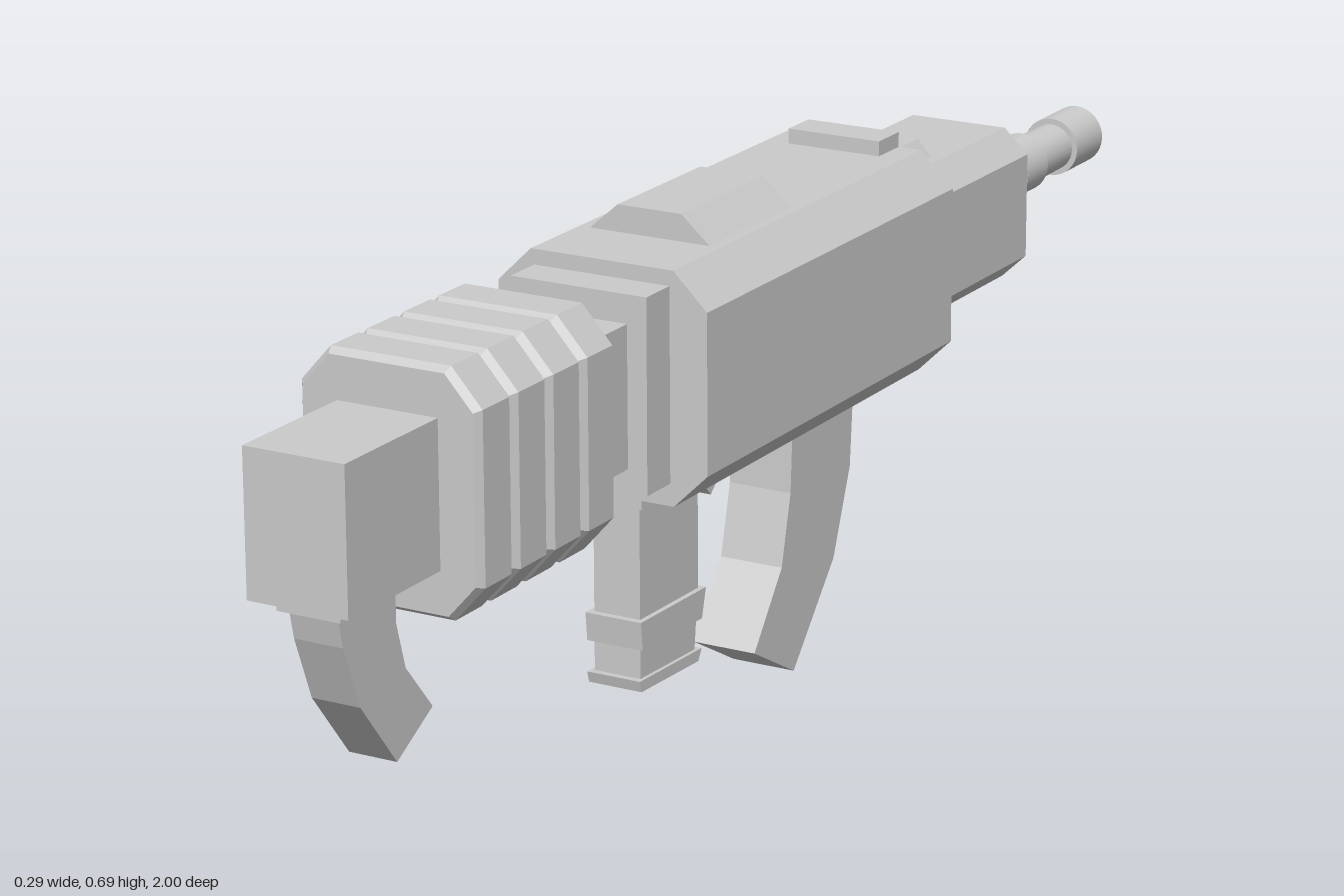
import * as THREE from 'three';

const material = new THREE.MeshStandardMaterial({ color: 0xcccccc });

function toShape(points) {
  return new THREE.Shape(points.map(([a, b]) => new THREE.Vector2(a, b)));
}

// Octagonal outline in x, y with cut corners
function octagon(w, y0, y1, cx, cy) {
  return [[w, y0 + cy], [w, y1 - cy], [w - cx, y1], [cx - w, y1],
    [-w, y1 - cy], [-w, y0 + cy], [cx - w, y0], [w - cx, y0]];
}

export function createModel() {
  const model = new THREE.Group();

  function add(name, geometry, parent = model) {
    const mesh = new THREE.Mesh(geometry, material);
    mesh.name = name;
    parent.add(mesh);
    return mesh;
  }
  function block(name, halfWidth, y0, y1, z0, z1, parent) {
    add(name, new THREE.BoxGeometry(halfWidth * 2, y1 - y0, z1 - z0)
      .translate(0, (y0 + y1) / 2, (z0 + z1) / 2), parent);
  }
  // Front outline (x, y) extruded from z0 to z1
  function lengthwise(name, points, z0, z1, parent) {
    add(name, new THREE.ExtrudeGeometry(toShape(points), { depth: z1 - z0, bevelEnabled: false })
      .translate(0, 0, z0), parent);
  }
  // Side outline (z, y) extruded across x
  function crosswise(name, points, halfWidth, parent) {
    add(name, new THREE.ExtrudeGeometry(toShape(points), { depth: halfWidth * 2, bevelEnabled: false })
      .translate(0, 0, -halfWidth).rotateY(-Math.PI / 2), parent);
  }
  function group(name) {
    const g = new THREE.Group();
    g.name = name;
    model.add(g);
    return g;
  }

  // Main body and its forward section
  lengthwise('receiver', octagon(0.147, 0.358, 0.657, 0.047, 0.046), -0.31, 0.335);
  lengthwise('foreSection', octagon(0.105, 0.405, 0.614, 0.035, 0.033), -0.615, -0.3);
  block('rearCollar', 0.095, 0.387, 0.637, 0.33, 0.39);
  block('rearBeam', 0.068, 0.417, 0.6, 0.38, 1);

  // Raised details on top
  lengthwise('topHump', [[-0.087, 0.655], [0.087, 0.655], [0.045, 0.692], [-0.045, 0.692]], 0.015, 0.22);
  block('sightPlate', 0.067, 0.65, 0.677, -0.31, -0.255);
  lengthwise('foreHump', [[-0.058, 0.61], [0.058, 0.61], [0.035, 0.637], [-0.035, 0.637]], -0.427, -0.3);

  // Four bevelled ribs around the beam
  const ribs = group('ribbedSleeve');
  const pitch = 0.0763, bevel = 0.01;
  for (let i = 0; i < 4; i++) {
    const rib = new THREE.ExtrudeGeometry(toShape(octagon(0.122, 0.356, 0.661, 0.041, 0.046)), {
      depth: pitch - 2 * bevel, bevelThickness: bevel, bevelSize: 0.007, bevelOffset: -0.007, bevelSegments: 1,
    });
    add('rib', rib.translate(0, 0, 0.505 + i * pitch + bevel), ribs);
  }

  // Stepped round barrel: [rear z, front z, rear radius, front radius]
  const barrel = group('barrel');
  [
    [-0.61, -0.635, 0.075, 0.075], [-0.635, -0.65, 0.062, 0.062],
    [-0.65, -0.735, 0.048, 0.046], [-0.735, -0.75, 0.046, 0.04],
    [-0.75, -0.812, 0.041, 0.041], [-0.812, -0.905, 0.034, 0.033],
    [-0.905, -0.987, 0.041, 0.041], [-0.987, -1, 0.014, 0.014],
  ].forEach(([z0, z1, r0, r1]) => {
    add('barrelStep', new THREE.CylinderGeometry(r1, r0, z0 - z1, 32)
      .rotateX(-Math.PI / 2).translate(0, 0.511, (z0 + z1) / 2), barrel);
  });

  // Curved magazine under the front of the receiver
  const magazine = group('magazine');
  block('magazineCollar', 0.052, 0.333, 0.365, -0.243, -0.058, magazine);
  crosswise('magazineBody', [[-0.065, 0.345], [-0.06, 0.25], [-0.037, 0.155], [0.035, 0.06],
    [-0.07, 0.002], [-0.178, 0.125], [-0.222, 0.24], [-0.23, 0.345]], 0.045, magazine);

  // Straight grip with a band and a foot
  const grip = group('grip');
  block('gripCollar', 0.05, 0.343, 0.365, 0.145, 0.328, grip);
  crosswise('gripBody', [[0.304, 0.35], [0.304, 0.1], [0.17, 0.1], [0.16, 0.19], [0.16, 0.35]], 0.033, grip);
  crosswise('gripBand', [[0.314, 0.19], [0.31, 0.152], [0.162, 0.148], [0.152, 0.187]], 0.04, grip);
  crosswise('gripFoot', [[0.314, 0.112], [0.31, 0.097], [0.168, 0.092], [0.16, 0.107]], 0.038, grip);

  // Small hooked trigger
  crosswise('trigger', [[0.058, 0.365], [0.06, 0.33], [0.072, 0.303], [0.09, 0.287],
    [0.103, 0.3], [0.087, 0.315], [0.083, 0.335], [0.088, 0.365]], 0.012);

  // Curved hook at the rear end
  const hook = group('rearHook');
  block('hookPlate', 0.043, 0.402, 0.42, 0.835, 0.978, hook);
  crosswise('hookBody', [[0.97, 0.41], [0.96, 0.365], [0.928, 0.283], [0.855, 0.192],
    [0.778, 0.235], [0.833, 0.3], [0.851, 0.36], [0.851, 0.41]], 0.033, hook);

  return model;
}
